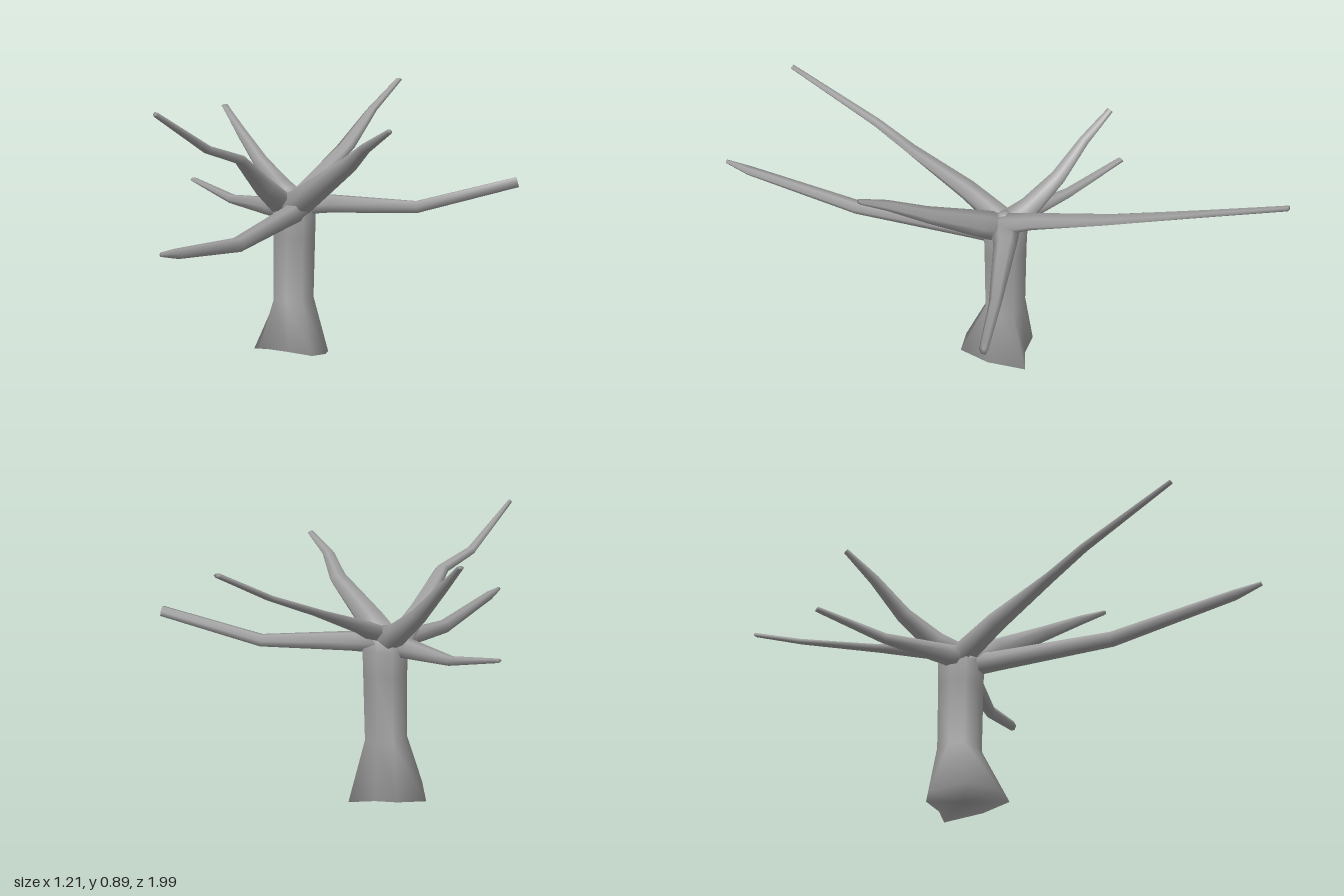
import * as THREE from 'three';

const material = new THREE.MeshStandardMaterial({ color: 0xa0a0a0, side: THREE.DoubleSide });

// Skin a list of rings (each an equal-length array of Vector3) and close both ends smoothly.
function loft(name, rings) {
  const n = rings[0].length, pos = [], index = [];
  const add = (p) => pos.push(p.x, p.y, p.z) / 3 - 1;
  rings.forEach((ring) => ring.forEach(add));
  for (let i = 0; i < rings.length - 1; i++) {
    for (let j = 0; j < n; j++) {
      const a = i * n + j, b = i * n + (j + 1) % n;
      index.push(a, b, a + n, b, b + n, a + n);
    }
  }
  const centre = (ring) => add(ring.reduce((sum, p) => sum.addScaledVector(p, 1 / n), new THREE.Vector3()));
  const first = centre(rings[0]), last = centre(rings[rings.length - 1]);
  const top = (rings.length - 1) * n;
  for (let j = 0; j < n; j++) {
    const k = (j + 1) % n;
    index.push(first, k, j, last, top + j, top + k);
  }
  const geometry = new THREE.BufferGeometry();
  geometry.setAttribute('position', new THREE.Float32BufferAttribute(pos, 3));
  geometry.setIndex(index);
  geometry.computeVertexNormals();
  const mesh = new THREE.Mesh(geometry, material);
  mesh.name = name;
  return mesh;
}

// Tapered limb through sections [x, y, z, half width, half height].
function branch(name, sections, sides = 6) {
  const pts = sections.map(([x, y, z]) => new THREE.Vector3(x, y, z));
  const last = pts.length - 1;
  const rings = sections.map(([, , , w, h], i) => {
    const t = pts[Math.min(i + 1, last)].clone().sub(pts[Math.max(i - 1, 0)]).normalize();
    const side = new THREE.Vector3(0, 1, 0).cross(t).normalize();
    const up = t.clone().cross(side);
    return Array.from({ length: sides }, (_, j) => {
      const a = (j / sides) * Math.PI * 2;
      return pts[i].clone().addScaledVector(side, w * Math.cos(a)).addScaledVector(up, h * Math.sin(a));
    });
  });
  return loft(name, rings);
}

// Trunk: irregular root flare at the foot, squarish shaft, closed crown.
function trunk() {
  const foot = [
    [-0.075, 0.045, 0.07], [0.003, 0.035, 0.055], [0.01, 0.02, -0.05], [-0.03, 0, -0.173],
    [-0.11, 0.006, -0.14], [-0.19, 0.012, -0.135], [-0.265, 0.01, -0.075], [-0.2, 0.04, 0.03],
  ].map((p) => new THREE.Vector3(...p));
  const ring = (y, r, cx = -0.108) => foot.map((_, j) => {
    const a = (j / 8) * Math.PI * 2, k = j % 2 ? r * 1.18 : r;
    return new THREE.Vector3(cx + k * Math.sin(a), y, -0.062 + k * Math.cos(a));
  });
  return loft('trunk', [
    foot, ring(0.2, 0.062, -0.112), ring(0.42, 0.064),
    ring(0.5, 0.066), ring(0.545, 0.05), ring(0.575, 0.018),
  ]);
}

export function createModel() {
  const group = new THREE.Group();
  group.name = 'bareTree';
  group.add(
    trunk(),
    branch('backBranch', [
      [-0.09, 0.53, -0.03, 0.045, 0.035], [-0.08, 0.59, -0.17, 0.04, 0.024], [-0.067, 0.68, -0.43, 0.035, 0.011],
      [-0.09, 0.785, -0.76, 0.021, 0.008], [-0.066, 0.885, -0.995, 0.014, 0.007],
    ]),
    branch('frontUpperBranch', [
      [-0.14, 0.52, -0.04, 0.045, 0.04], [-0.15, 0.6, 0.1, 0.038, 0.032], [-0.142, 0.71, 0.3, 0.026, 0.015],
      [-0.182, 0.755, 0.45, 0.019, 0.013], [-0.192, 0.888, 0.77, 0.008, 0.008],
    ]),
    branch('frontLowerBranch', [
      [-0.085, 0.51, -0.06, 0.045, 0.038], [-0.08, 0.5, 0.05, 0.035, 0.032], [-0.07, 0.47, 0.48, 0.025, 0.024],
      [-0.063, 0.51, 0.9, 0.018, 0.016], [-0.065, 0.522, 0.99, 0.006, 0.007],
    ]),
    branch('leftLowBranch', [
      [-0.1, 0.525, -0.065, 0.05, 0.04], [0, 0.525, -0.105, 0.038, 0.033],
      [0.28, 0.516, -0.195, 0.02, 0.022], [0.598, 0.603, -0.298, 0.014, 0.019],
    ]),
    branch('leftHighBranch', [
      [-0.12, 0.505, -0.05, 0.06, 0.05], [-0.02, 0.57, 0.015, 0.05, 0.042], [0.15, 0.685, 0.1, 0.032, 0.026],
      [0.24, 0.75, 0.195, 0.022, 0.016], [0.335, 0.81, 0.24, 0.012, 0.008],
    ]),
    branch('rightHighBranch', [
      [-0.1, 0.52, -0.055, 0.05, 0.05], [-0.18, 0.57, -0.115, 0.04, 0.036], [-0.28, 0.645, -0.175, 0.03, 0.025],
      [-0.38, 0.745, -0.225, 0.021, 0.016], [-0.466, 0.828, -0.28, 0.014, 0.007],
    ]),
    branch('rightLowBranch', [
      [-0.1, 0.515, -0.04, 0.048, 0.042], [-0.19, 0.51, -0.065, 0.035, 0.034],
      [-0.39, 0.512, -0.17, 0.02, 0.016], [-0.595, 0.558, -0.285, 0.014, 0.007],
    ]),
  );
  return group;
}
